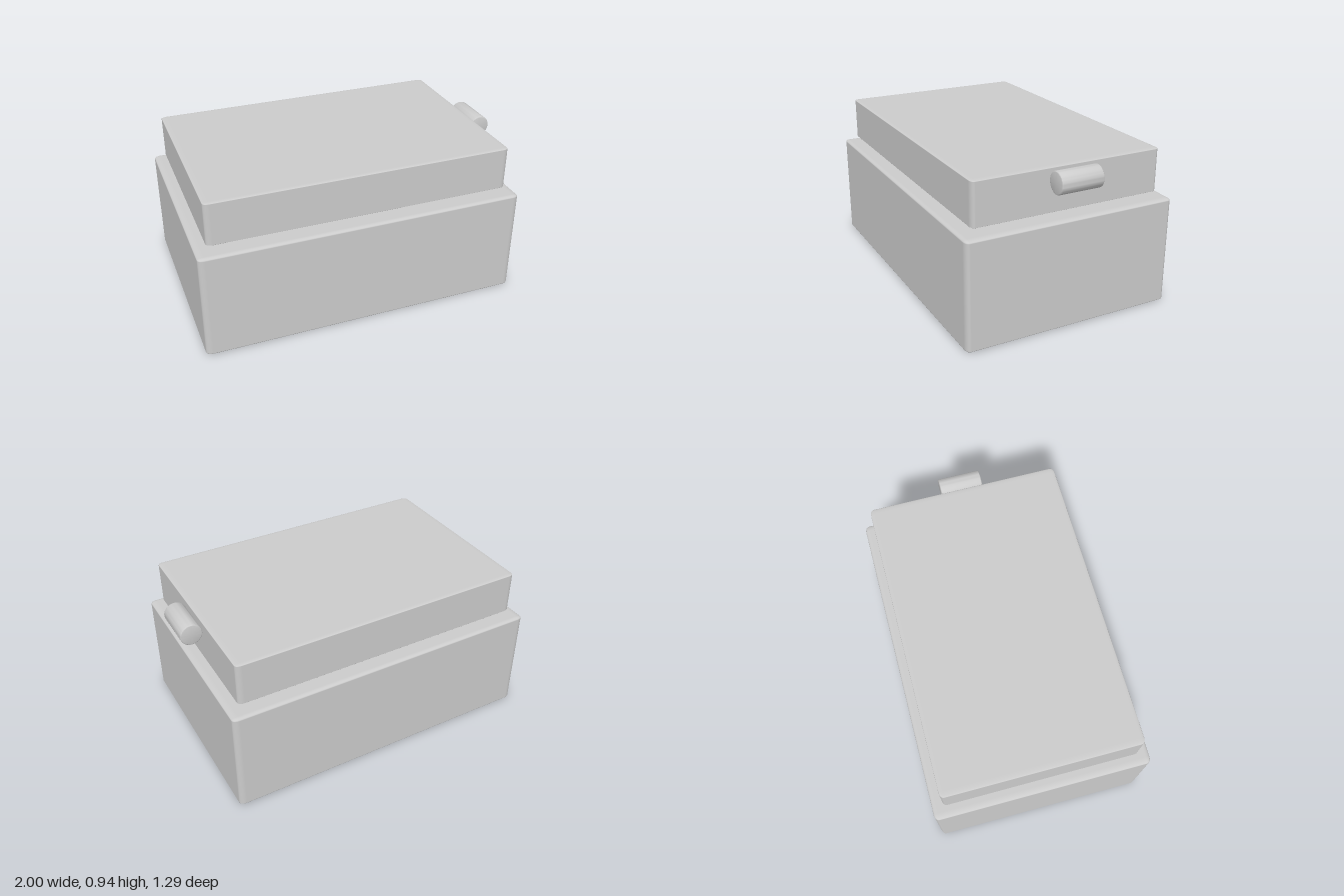
import * as THREE from 'three';
import { RoundedBoxGeometry } from 'three/addons/geometries/RoundedBoxGeometry.js';
import { toCreasedNormals } from 'three/addons/utils/BufferGeometryUtils.js';

const S = 2 / 3.1; // base height; every other size is a multiple of it
const material = new THREE.MeshStandardMaterial({ color: 0xcccccc });

function part(name, geometry, x, y, z) {
  const mesh = new THREE.Mesh(geometry, material);
  mesh.name = name;
  mesh.position.set(x * S, y * S, z * S);
  return mesh;
}

// Softened unit cube stretched to size, so the bevel stretches with each axis
function softBox(w, h, d) {
  return new RoundedBoxGeometry(1, 1, 1, 3, 0.02).scale(w * S, h * S, d * S);
}

// Cylinder along z with slightly rounded rims
function softCylinder(radius, length, bevel) {
  const r = radius * S, h = (length * S) / 2;
  const profile = [new THREE.Vector2(0, -h)];
  for (const side of [-1, 1]) {
    for (let i = 0; i <= 3; i++) {
      const a = ((side < 0 ? i : 3 - i) / 3) * Math.PI / 2;
      profile.push(new THREE.Vector2(r - bevel + bevel * Math.sin(a), side * (h - bevel + bevel * Math.cos(a))));
    }
  }
  profile.push(new THREE.Vector2(0, h));
  return toCreasedNormals(new THREE.LatheGeometry(profile, 48), 0.6).rotateX(Math.PI / 2);
}

export function createModel() {
  const group = new THREE.Group();
  group.name = 'box';
  const cx = -0.05;
  // Box body
  group.add(part('base', softBox(3, 1, 2), cx, 0.5, 0));
  // Smaller lid hovering just above the body
  group.add(part('lid', softBox(2.8, 0.4, 1.8), cx, 1.25, 0));
  // Round latch on the lid's left end
  group.add(part('latch', softCylinder(0.1, 0.4, 0.006), cx + 1.5, 1.35, 0));
  return group;
}
